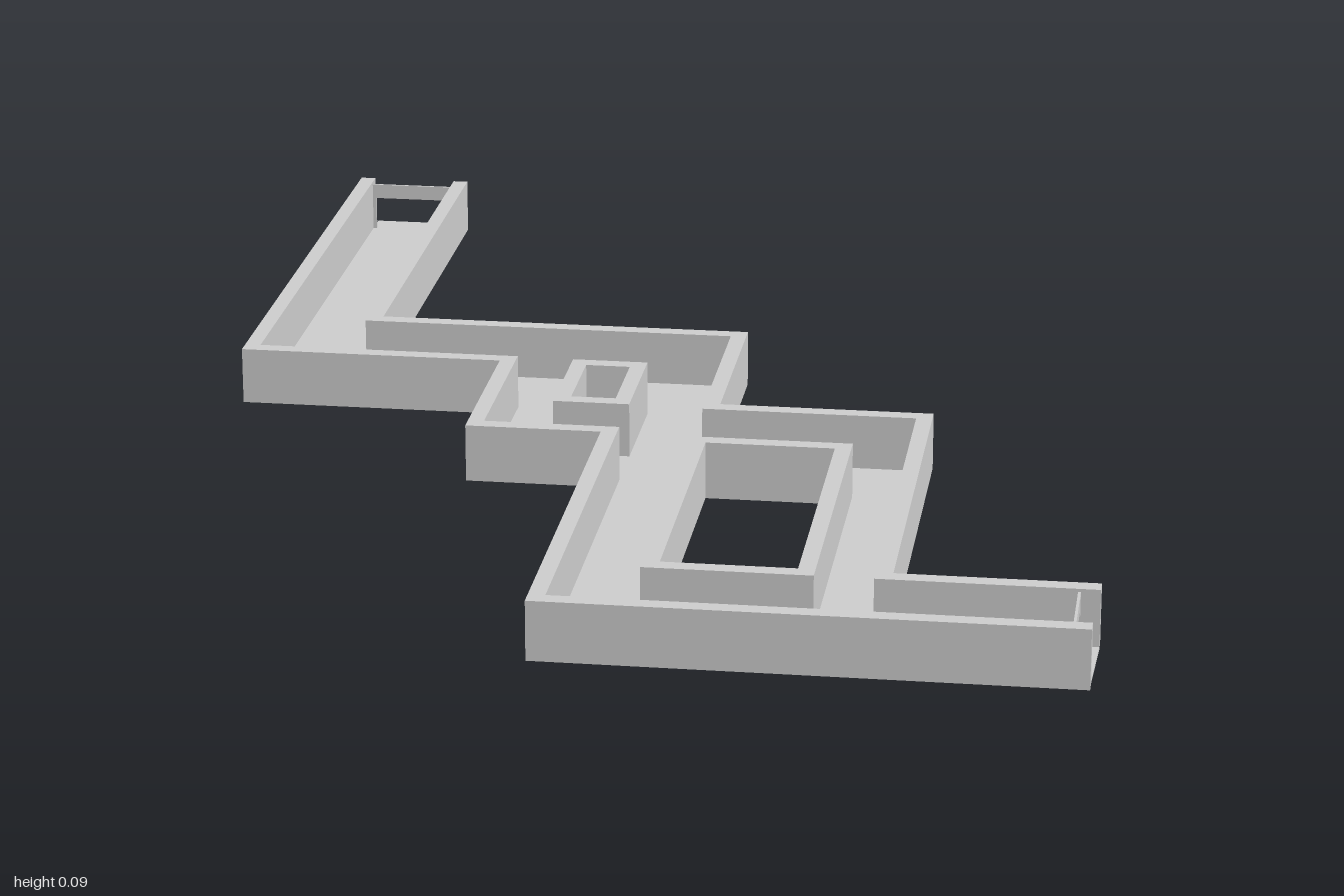
import * as THREE from 'three';

const HEIGHT = 0.09, WALL = 0.025, FLOOR = 0.004;
const material = new THREE.MeshStandardMaterial({ color: 0xcccccc, flatShading: true, side: THREE.DoubleSide });

// Plan outlines as [x, z] pairs, both running from the back end to the side end
const leftPath = [[-0.71, -0.98], [-0.71, -0.01], [-0.29, -0.01], [-0.29, 0.3], [-0.08, 0.3], [-0.08, 1], [0.705, 1]];
const rightPath = [[-0.517, -0.98], [-0.517, -0.205], [0.085, -0.205], [0.085, 0.15], [0.417, 0.15], [0.417, 0.827], [0.71, 0.827]];

// Shift a right-angled path sideways, with mitred corners
function offset(path, t) {
  const normal = (a, b) => {
    const dx = b[0] - a[0], dz = b[1] - a[1], l = Math.hypot(dx, dz);
    return [dz / l, -dx / l];
  };
  return path.map((p, i) => {
    const n1 = i > 0 ? normal(path[i - 1], p) : [0, 0];
    const n2 = i < path.length - 1 ? normal(p, path[i + 1]) : [0, 0];
    return [p[0] + t * (n1[0] + n2[0]), p[1] + t * (n1[1] + n2[1])];
  });
}

const toPoints = (pts) => pts.map(([x, z]) => new THREE.Vector2(x, -z));
const rect = (x0, z0, x1, z1) => [[x0, z0], [x1, z0], [x1, z1], [x0, z1]];

// Raise a plan outline, with optional holes, to a given height
function slab(name, outline, height, holes = []) {
  const shape = new THREE.Shape(toPoints(outline));
  holes.forEach((h) => shape.holes.push(new THREE.Path(toPoints(h))));
  const geometry = new THREE.ExtrudeGeometry(shape, { depth: height, bevelEnabled: false });
  geometry.rotateX(-Math.PI / 2);
  const mesh = new THREE.Mesh(geometry, material);
  mesh.name = name;
  return mesh;
}

function box(name, w, h, d, x, y, z) {
  const mesh = new THREE.Mesh(new THREE.BoxGeometry(w, h, d), material);
  mesh.name = name;
  mesh.position.set(x, y, z);
  return mesh;
}

// Thin door frame: a lintel across the corridor on two slim jambs
function doorFrame(name, width) {
  const group = new THREE.Group();
  group.name = name;
  group.add(box('lintel', width, 0.025, 0.004, 0, 0.073, 0));
  for (const s of [-1, 1]) group.add(box('jamb', 0.006, 0.085, 0.004, s * (width / 2 - 0.003), 0.0425, 0));
  return group;
}

export function createModel() {
  const model = new THREE.Group();
  model.name = 'corridor';

  // Outer walls
  const leftInner = offset(leftPath, WALL);
  const rightInner = offset(rightPath, -WALL);
  model.add(slab('leftWall', [...leftPath, ...leftInner.slice().reverse()], HEIGHT));
  model.add(slab('rightWall', [...rightPath, ...rightInner.slice().reverse()], HEIGHT));

  // Walled openings in the middle
  const shafts = [
    { name: 'smallShaftWall', outer: rect(-0.175, -0.032, -0.055, 0.17), inner: rect(-0.15, -0.007, -0.08, 0.145) },
    { name: 'largeShaftWall', outer: rect(0.06, 0.302, 0.307, 0.852), inner: rect(0.085, 0.327, 0.282, 0.827) },
  ];
  shafts.forEach((s) => model.add(slab(s.name, s.outer, HEIGHT, [s.inner])));

  // Floor, running slightly past the walls at the back end
  const floorOutline = [...leftInner, ...rightInner.slice().reverse()];
  floorOutline[0][1] = floorOutline[floorOutline.length - 1][1] = -1;
  model.add(slab('floor', floorOutline, FLOOR, shafts.map((s) => s.outer)));

  // Door frames at the two open ends
  const backDoor = doorFrame('backDoorFrame', 0.143);
  backDoor.position.set(-0.6135, 0, -0.957);
  const sideDoor = doorFrame('sideDoorFrame', 0.123);
  sideDoor.position.set(0.68, 0, 0.9135);
  sideDoor.rotation.y = Math.PI / 2;
  model.add(backDoor, sideDoor);

  return model;
}
